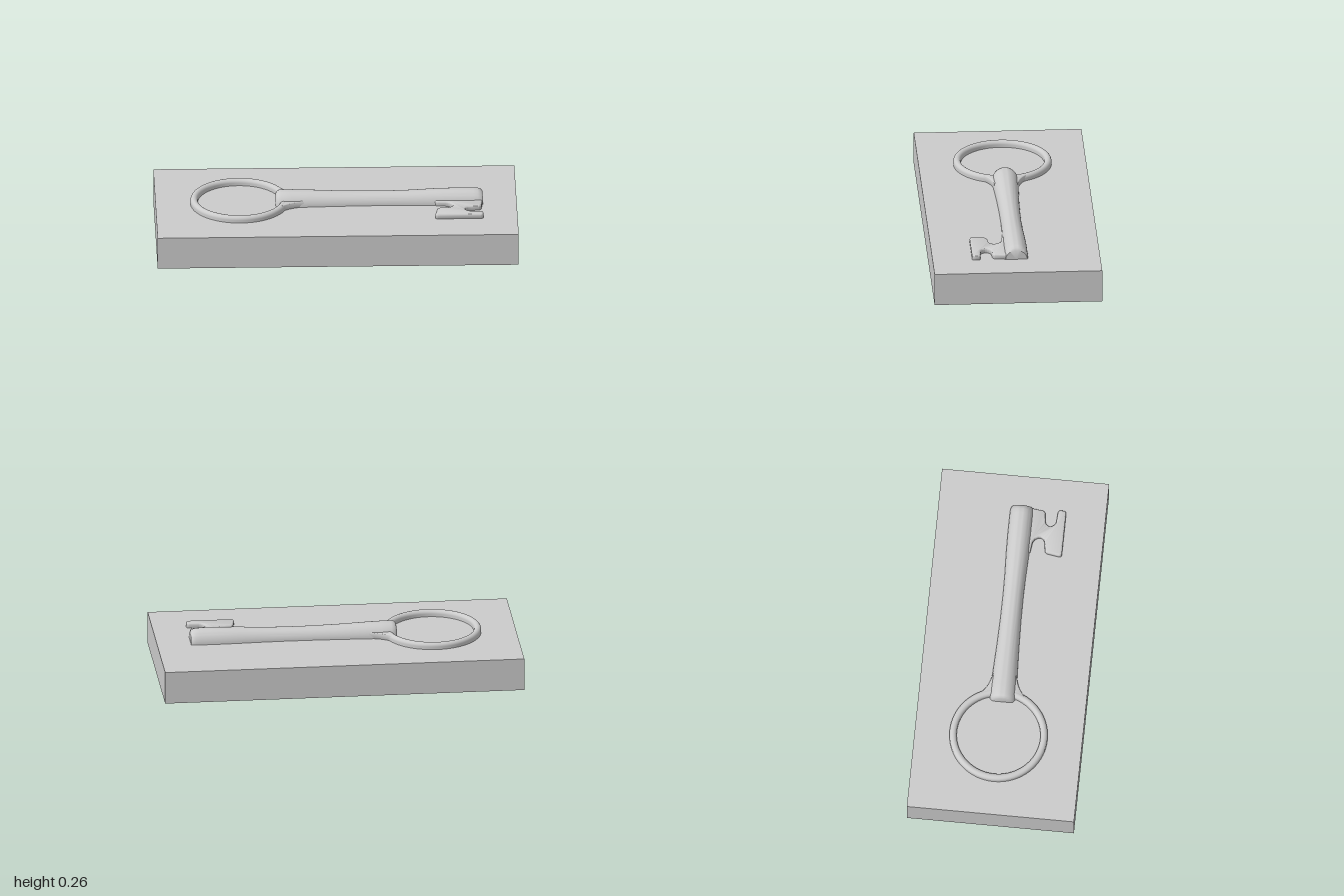
import * as THREE from 'three';
import { toCreasedNormals } from 'three/addons/utils/BufferGeometryUtils.js';

const TOP = 0.184; // upper face of the slab
const material = new THREE.MeshStandardMaterial({ color: 0xcccccc });

function part(name, geometry, y = 0) {
  const mesh = new THREE.Mesh(geometry, material);
  mesh.name = name;
  mesh.position.y = y;
  return mesh;
}

// Half-round bar along x; stations are [x, half width, height]
function halfRoundLoft(stations, segments = 24) {
  const positions = [], index = [];
  for (const [x, w, h] of stations) {
    for (let j = 0; j <= segments; j++) {
      const a = (j / segments) * Math.PI;
      positions.push(x, h * Math.sin(a), w * Math.cos(a));
    }
  }
  const row = segments + 1;
  for (let i = 0; i < stations.length - 1; i++) {
    for (let j = 0; j < segments; j++) {
      const a = i * row + j, b = a + row;
      index.push(a, b, a + 1, b, b + 1, a + 1);
    }
  }
  const g = new THREE.BufferGeometry();
  g.setAttribute('position', new THREE.Float32BufferAttribute(positions, 3));
  g.setIndex(index);
  return toCreasedNormals(g, 0.7);
}

// Flat plate with rounded upper edges; outline is in x and -z
function plate(shape, height, bevel) {
  const g = new THREE.ExtrudeGeometry(shape, {
    depth: height - bevel, bevelEnabled: true, bevelThickness: bevel,
    bevelSize: bevel, bevelOffset: -bevel, bevelSegments: 4, curveSegments: 10,
  });
  g.rotateX(-Math.PI / 2);
  return toCreasedNormals(g, 0.7);
}

// Closed outline whose corners are rounded by radius r
function roundedShape(points, r) {
  const v = points.map(([x, z]) => new THREE.Vector2(x, -z));
  const shape = new THREE.Shape();
  v.forEach((p, i) => {
    const toward = (q) => p.clone().lerp(q, Math.min(0.45, r / p.distanceTo(q)));
    const a = toward(v[(i + v.length - 1) % v.length]);
    const b = toward(v[(i + 1) % v.length]);
    if (i === 0) shape.moveTo(a.x, a.y);
    else shape.lineTo(a.x, a.y);
    shape.quadraticCurveTo(p.x, p.y, b.x, b.y);
  });
  shape.closePath();
  return shape;
}

export function createModel() {
  const model = new THREE.Group();
  model.name = 'keyRelief';

  // Base slab
  model.add(part('slab', new THREE.BoxGeometry(2, TOP, 0.93), TOP / 2));

  const key = new THREE.Group();
  key.name = 'key';
  model.add(key);

  // Ring bow, a rounded band lying on the slab
  const band = [new THREE.Vector2(0.272, -0.005)];
  for (let i = 0; i <= 12; i++) {
    const a = (i / 12) * Math.PI;
    band.push(new THREE.Vector2(0.252 + 0.02 * Math.cos(a), 0.016 + 0.02 * Math.sin(a)));
  }
  band.push(new THREE.Vector2(0.232, -0.005));
  const bow = part('bow', new THREE.LatheGeometry(band, 72), TOP);
  bow.position.x = -0.535;
  key.add(bow);

  // Shaft, flared toward both ends
  key.add(part('shaft', halfRoundLoft([
    [-0.335, 0, 0], [-0.335, 0.052, 0.048], [-0.331, 0.06, 0.061],
    [-0.322, 0.068, 0.07], [-0.305, 0.073, 0.073], [-0.25, 0.073, 0.073],
    [-0.15, 0.068, 0.07], [0, 0.062, 0.064], [0.15, 0.058, 0.061],
    [0.3, 0.057, 0.061], [0.42, 0.059, 0.064], [0.55, 0.064, 0.071],
    [0.65, 0.066, 0.073], [0.76, 0.066, 0.073], [0.785, 0.066, 0.071],
    [0.803, 0.064, 0.064], [0.812, 0.06, 0.052], [0.812, 0, 0],
  ]), TOP));

  // Webs that blend the bow into the shaft, one per side
  for (const s of [1, -1]) {
    const web = new THREE.Shape();
    web.moveTo(-0.305, s * 0.13);
    web.quadraticCurveTo(-0.268, s * 0.08, -0.18, s * 0.066);
    web.lineTo(-0.2, s * 0.03);
    web.lineTo(-0.29, s * 0.03);
    web.closePath();
    key.add(part(s > 0 ? 'rightWeb' : 'leftWeb', plate(web, 0.034, 0.008), TOP));
  }

  // Notched bit
  const bit = roundedShape([
    [0.545, 0.03], [0.545, 0.068], [0.625, 0.078], [0.65, 0.115], [0.63, 0.142],
    [0.558, 0.15], [0.542, 0.245], [0.812, 0.245], [0.812, 0.2], [0.728, 0.195],
    [0.708, 0.165], [0.725, 0.138], [0.8, 0.13], [0.812, 0.03],
  ], 0.018);
  key.add(part('bit', plate(bit, 0.028, 0.01), TOP));

  return model;
}
